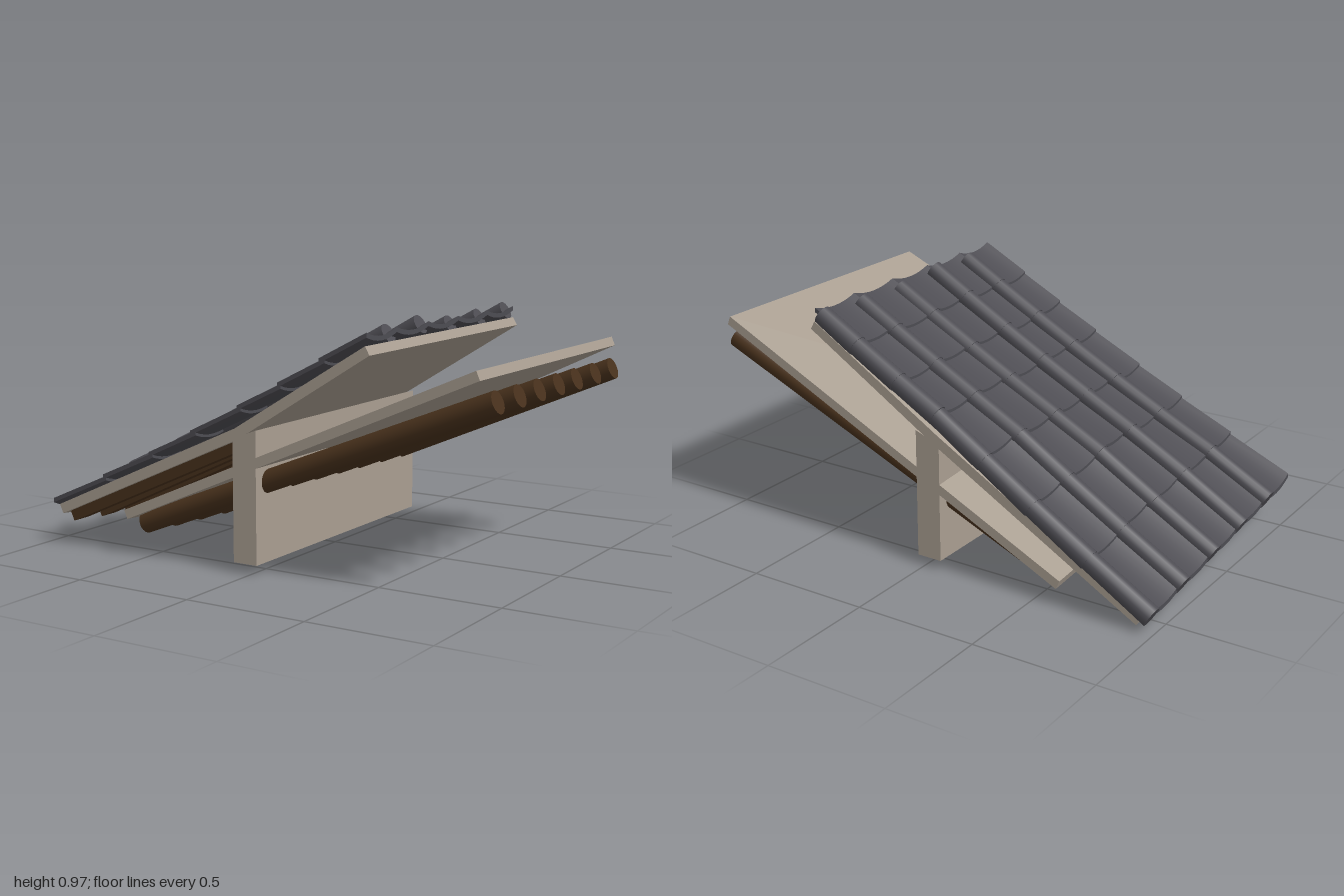
import * as THREE from 'three';
import { toCreasedNormals } from 'three/addons/utils/BufferGeometryUtils.js';

const FRONT = 0.607, BACK = -0.592;

// Solid from stations running along +x; each has top and bottom points, front to back.
function slab(stations) {
  const pos = [];
  const tri = (...p) => p.forEach(v => pos.push(v[0], v[1], v[2]));
  const quad = (a, b, c, d) => { tri(a, b, c); tri(a, c, d); };
  const n = stations[0].top.length - 1;
  for (let i = 0; i < stations.length - 1; i++) {
    const s = stations[i], e = stations[i + 1];
    for (let j = 0; j < n; j++) {
      quad(s.top[j], e.top[j], e.top[j + 1], s.top[j + 1]);
      quad(s.bottom[j], s.bottom[j + 1], e.bottom[j + 1], e.bottom[j]);
    }
    quad(s.bottom[0], e.bottom[0], e.top[0], s.top[0]);
    quad(s.top[n], e.top[n], e.bottom[n], s.bottom[n]);
  }
  const s = stations[0], e = stations[stations.length - 1];
  for (let j = 0; j < n; j++) {
    quad(s.top[j], s.top[j + 1], s.bottom[j + 1], s.bottom[j]);
    quad(e.top[j], e.bottom[j], e.bottom[j + 1], e.top[j + 1]);
  }
  const g = new THREE.BufferGeometry();
  g.setAttribute('position', new THREE.Float32BufferAttribute(pos, 3));
  g.computeVertexNormals();
  return g;
}

// Panel from rows of [topX, topY, bottomX, bottomY, sag of the back edge]
const panel = rows => slab(rows.map(([tx, ty, bx, by, sag]) => ({
  top: [[tx, ty, FRONT], [tx, ty - sag, BACK]],
  bottom: [[bx, by, FRONT], [bx, by - sag, BACK]],
})));

// Roof warp: the low back corner sags
function sag(x, z) {
  const t = Math.max(0, (-0.06 - x) / 0.88);
  const s = (FRONT - z) / (FRONT - BACK);
  return 0.11 * Math.max(0, t + s - 1);
}

// Gently curved line the tiles lie on
const tileY = (x, z) =>
  0.18 + 0.491 * (x + 0.98) + 0.047 * (x + 0.98) * (x + 0.125) - sag(x, z);

// Concave tile between two ridges, lifted at its low end to overlap the row below
function panTile(x0, x1, z0, z1) {
  const N = 8;
  const station = (x, lift) => {
    const top = [], bottom = [];
    for (let j = 0; j <= N; j++) {
      const u = j / N, z = z0 + (z1 - z0) * u;
      const y = tileY(x, z) + lift - 0.02 * (1 - (2 * u - 1) ** 2);
      top.push([x, y + 0.012, z]);
      bottom.push([x, y - 0.006, z]);
    }
    return { top, bottom };
  };
  return toCreasedNormals(slab([station(x0, 0.008), station(x1, -0.004)]), 0.6);
}

export function createModel() {
  const model = new THREE.Group();
  const plaster = new THREE.MeshStandardMaterial({ color: 0xa99e91 });
  const slate = new THREE.MeshStandardMaterial({ color: 0x4d4c52 });
  const wood = new THREE.MeshStandardMaterial({ color: 0x48311c });

  const add = (parent, name, geometry, material) => {
    const m = new THREE.Mesh(geometry, material);
    m.name = name;
    parent.add(m);
    return m;
  };
  const group = name => {
    const g = new THREE.Group();
    g.name = name;
    model.add(g);
    return g;
  };
  // Lay an x-aligned mesh between two points in a plane of constant z
  const lay = (mesh, ax, ay, bx, by, z) => {
    mesh.position.set((ax + bx) / 2, (ay + by) / 2, z);
    mesh.rotation.z = Math.atan2(by - ay, bx - ax);
  };
  const rod = (rLow, rHigh, length, sides) =>
    new THREE.CylinderGeometry(rHigh, rLow, length, sides).rotateZ(-Math.PI / 2);

  // Supporting wall with a sloped top
  const profile = new THREE.Shape([[-0.075, 0.053], [0.03, 0.053], [0.03, 0.57], [-0.075, 0.53]]
    .map(p => new THREE.Vector2(...p)));
  const wall = new THREE.ExtrudeGeometry(profile, { depth: FRONT - BACK, bevelEnabled: false });
  add(model, 'wall', wall.translate(0, 0, BACK), plaster);

  // Lower and upper roof boards
  add(model, 'lowerPanel', panel([
    [-0.607, 0.192, -0.592, 0.157, 0.078],
    [0.94, 0.86, 0.954, 0.826, 0],
  ]), plaster);
  add(model, 'upperPanel', panel([
    [-0.945, 0.176, -0.928, 0.14, 0.11],
    [-0.065, 0.57, -0.05, 0.53, 0],
    [0.502, 0.915, 0.521, 0.883, 0],
  ]), plaster);

  // Round rafters under the lower board
  const rafters = group('lowerRafters');
  [0.525, 0.35, 0.185, 0.015, -0.15, -0.33, -0.505].forEach(z => {
    const endY = 0.108 + 0.045 * z;
    const length = Math.hypot(1.543, 0.745 - endY);
    lay(add(rafters, 'rafter', rod(0.043, 0.043, length, 20), wood), -0.56, endY, 0.983, 0.745, z);
  });

  // Flat rafters under the low half of the upper board
  const flats = group('upperRafters');
  [0.53, 0.36, 0.2, 0.03, -0.135, -0.31, -0.48].forEach(z => {
    const x0 = -0.91, x1 = -0.06;
    const y0 = 0.134 - sag(x0, z), y1 = 0.512 - sag(x1, z);
    const box = new THREE.BoxGeometry(Math.hypot(x1 - x0, y1 - y0), 0.055, 0.088);
    lay(add(flats, 'flatRafter', box, wood), x0, y0, x1, y1, z);
  });

  // Roof tiles: rows of concave tiles with round ridge tiles over the joints
  const tiles = group('roofTiles');
  const ridges = [0.395, 0.155, -0.085, -0.335, -0.575];
  const jitter = [0, 0.012, -0.01, -0.004, 0.004];
  const rows = [-0.975, -0.715, -0.475, -0.265, -0.055, 0.125, 0.315, 0.51];
  ridges.forEach((z, k) => {
    const front = k === 0 ? 0.61 : ridges[k - 1];
    for (let r = 0; r < rows.length - 1; r++) {
      const shift = r === 0 ? 0 : 0.006 * Math.sin(k * 2.3 + r * 1.7);
      const overlap = r === rows.length - 2 ? 0 : 0.02;
      add(tiles, 'panTile', panTile(rows[r] + shift, rows[r + 1] + overlap, front, z), slate);

      const x0 = rows[r] - 0.005;
      const x1 = r === rows.length - 2 ? 0.475 : rows[r + 1] + 0.015;
      const rise = x => tileY(x, z) + 0.004 + jitter[k] * (x + 0.98) / 1.46;
      const length = Math.hypot(x1 - x0, rise(x1) - rise(x0));
      lay(add(tiles, 'ridgeTile', rod(0.042, 0.039, length, 16), slate),
        x0, rise(x0), x1, rise(x1), z);
    }
  });

  return model;
}
